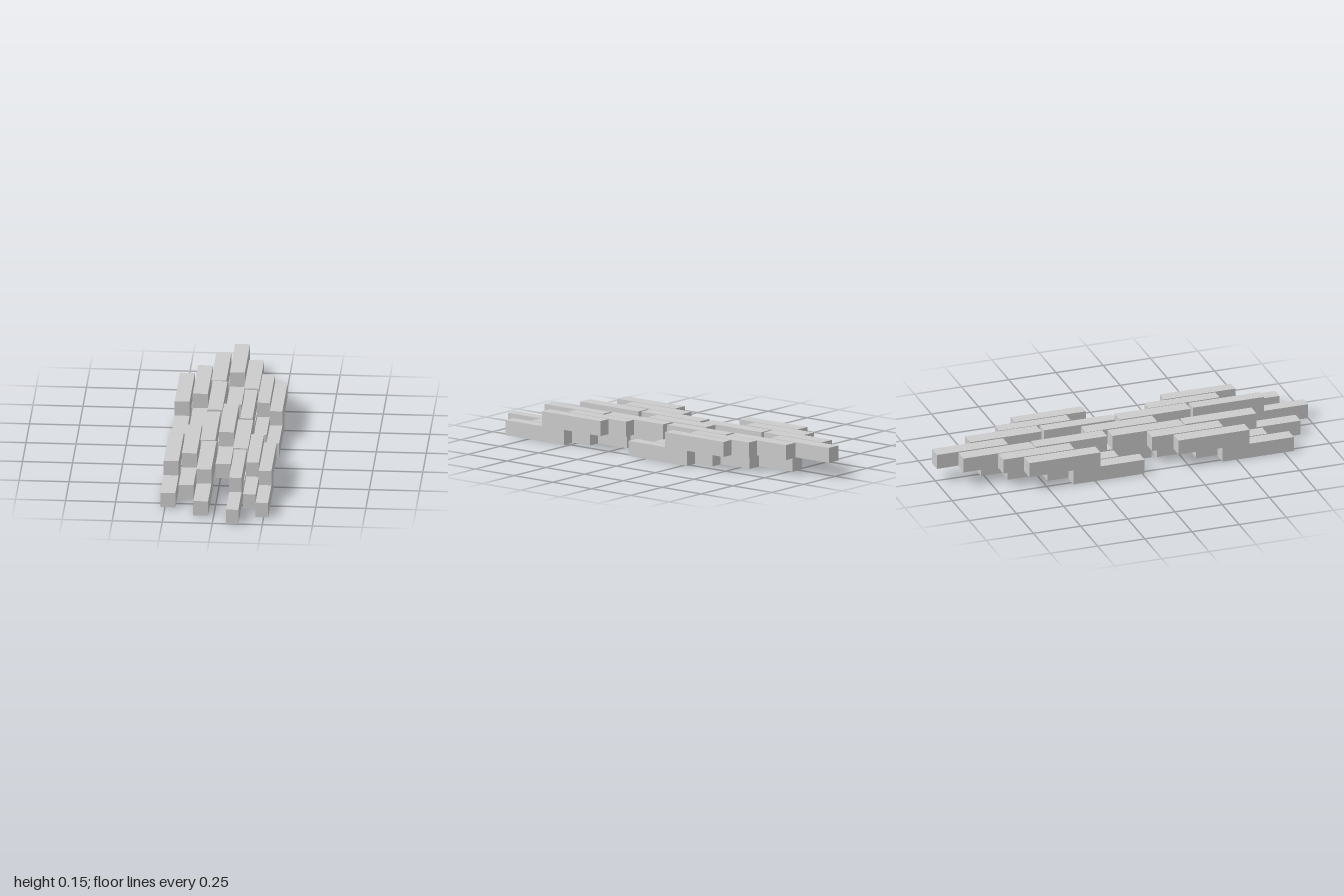
import * as THREE from 'three';

const LENGTH = 0.377;   // bar length along z
const SHIFT = 0.234;    // lower course is offset forward by this much
const HEIGHT = 0.0765;  // one course

// Each column: left edge, right edge, back ends of its upper bars
const COLUMNS = [
  [-0.273, -0.198, [-0.60, 0.19]],
  [-0.190, -0.115, [-0.708, 0.08]],
  [-0.110, -0.035, [-0.89, -0.10]],
  [-0.102, -0.028, [-0.503, 0.288]],
  [-0.025, 0.050, [-1.00, -0.21]],
  [0.060, 0.135, [-0.793, -0.003]],
  [0.068, 0.130, [-0.40, 0.389]],
  [0.139, 0.202, [-0.61, 0.18]],
  [0.209, 0.272, [-0.503, 0.288]],
];

export function createModel() {
  const model = new THREE.Group();
  model.name = 'staggeredBars';
  const material = new THREE.MeshStandardMaterial({ color: 0xcccccc, flatShading: true });

  // Two identical courses, the lower one slid forward
  ['lowerCourse', 'upperCourse'].forEach((name, level) => {
    const course = new THREE.Group();
    course.name = name;
    course.position.set(0, (level + 0.5) * HEIGHT, level ? 0 : SHIFT);

    for (const [x0, x1, backEnds] of COLUMNS) {
      const geometry = new THREE.BoxGeometry(x1 - x0, HEIGHT, LENGTH);
      for (const z of backEnds) {
        const bar = new THREE.Mesh(geometry, material);
        bar.name = 'bar';
        bar.position.set((x0 + x1) / 2, 0, z + LENGTH / 2);
        course.add(bar);
      }
    }
    model.add(course);
  });
  return model;
}
